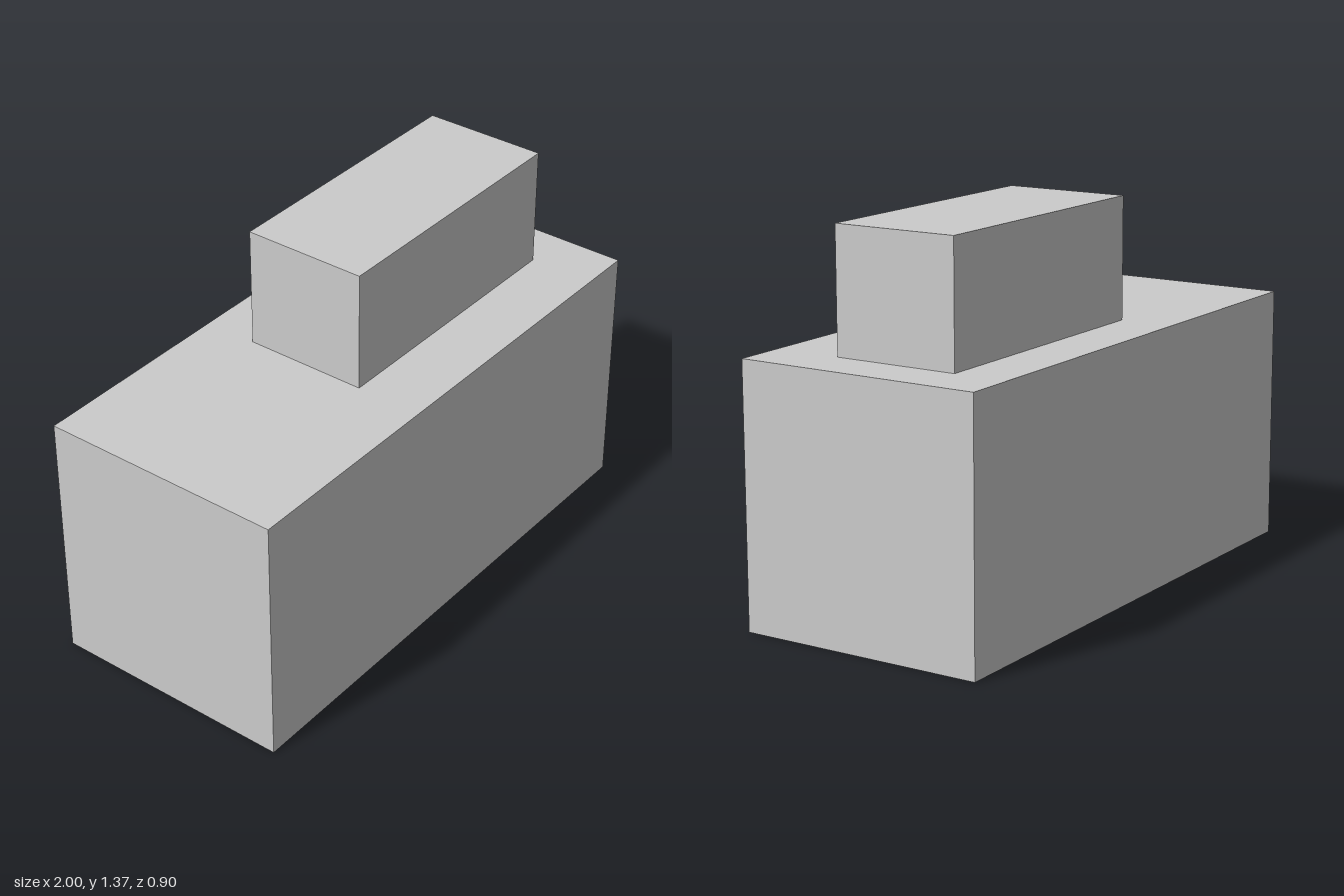
import * as THREE from 'three';

const material = new THREE.MeshStandardMaterial({ color: 0xcccccc, flatShading: true });

// Box given by its minimum and maximum corners
function block(name, min, max) {
  const [w, h, d] = max.map((v, i) => v - min[i]);
  const mesh = new THREE.Mesh(new THREE.BoxGeometry(w, h, d), material);
  mesh.position.set(min[0] + w / 2, min[1] + h / 2, min[2] + d / 2);
  mesh.name = name;
  return mesh;
}

export function createModel() {
  const model = new THREE.Group();
  model.name = 'steppedBlocks';
  const baseTop = 0.928;

  // Large base block
  model.add(block('baseBlock', [-1, 0, -0.451], [1, baseTop, 0.451]));

  // Smaller block resting off-centre on top
  model.add(block('upperBlock', [-0.22, baseTop, -0.255], [0.815, 1.366, 0.205]));

  return model;
}
